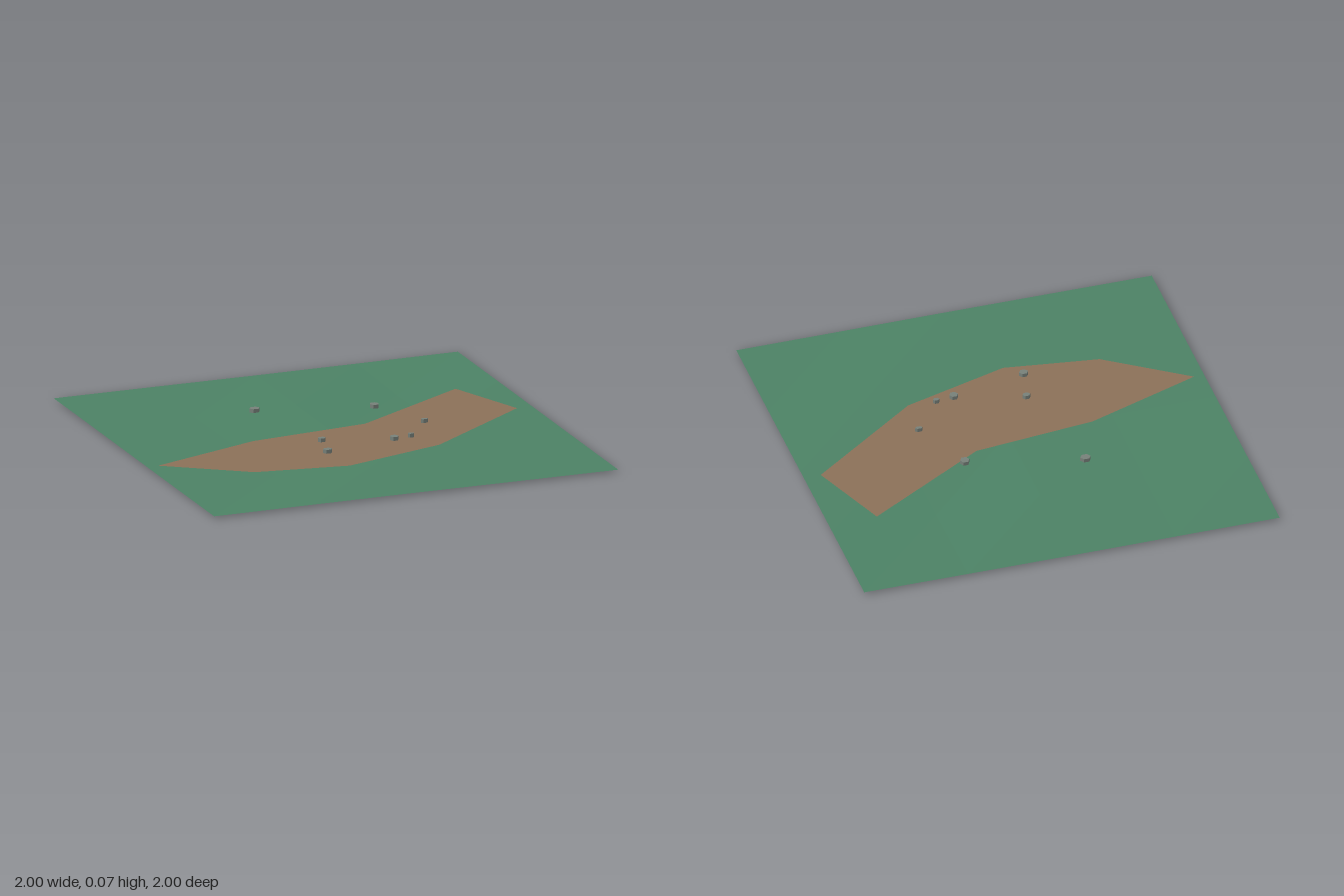
import * as THREE from 'three';

const mat = (color, extra = {}) =>
  new THREE.MeshStandardMaterial({ color, flatShading: true, ...extra });

// Gently uneven lawn: a coarse grid with two shallow dips
function makeGround() {
  const geo = new THREE.PlaneGeometry(2, 2, 4, 4).rotateX(-Math.PI / 2);
  const pos = geo.attributes.position;
  for (let i = 0; i < pos.count; i++) {
    const x = pos.getX(i), z = pos.getZ(i);
    let y = 0.011 + 0.001 * Math.sin(3 * x + 2 * z);
    if (z === -0.5 && x === 0.5) y = 0;
    if (z === -0.5 && x === -0.5) y = 0.005;
    pos.setY(i, y);
  }
  geo.computeVertexNormals();
  const mesh = new THREE.Mesh(geo, mat(0x4c8265, { side: THREE.DoubleSide }));
  mesh.name = 'ground';
  return mesh;
}

// Flat dirt path, outlined in x and z
function makePath() {
  const outline = [
    [-0.95, 0.175], [-0.575, 0.435], [-0.13, 0.5], [0.375, 0.345],
    [0.92, -0.06], [0.77, -0.45], [0.18, -0.09], [-0.4, -0.025],
  ];
  const shape = new THREE.Shape(outline.map(([x, z]) => new THREE.Vector2(x, -z)));
  const geo = new THREE.ShapeGeometry(shape).rotateX(-Math.PI / 2);
  const mesh = new THREE.Mesh(geo, mat(0x8b7058));
  mesh.name = 'path';
  mesh.position.y = 0.015;
  return mesh;
}

// Small six-sided stones: x, z, width, depth
function makeStones() {
  const group = new THREE.Group();
  group.name = 'stones';
  const stones = [
    [-0.265, -0.35, 0.05, 0.037], [0.273, -0.21, 0.044, 0.04],
    [-0.15, 0.2, 0.038, 0.027], [0.4, 0.095, 0.036, 0.018],
    [0.17, 0.298, 0.042, 0.036], [0.258, 0.285, 0.031, 0.02],
    [-0.19, 0.374, 0.044, 0.033],
  ];
  const geo = new THREE.CylinderGeometry(0.5, 0.5, 1, 6).rotateY(Math.PI / 2);
  geo.scale(1, 1, 1 / Math.cos(Math.PI / 6));
  const grey = mat(0x778079);
  for (const [x, z, w, d] of stones) {
    const stone = new THREE.Mesh(geo, grey);
    stone.name = 'stone';
    stone.position.set(x, 0.058, z);
    stone.scale.set(w, 0.018, d);
    group.add(stone);
  }
  return group;
}

export function createModel() {
  const model = new THREE.Group();
  model.name = 'gardenPatch';
  model.add(makeGround(), makePath(), makeStones());
  return model;
}
